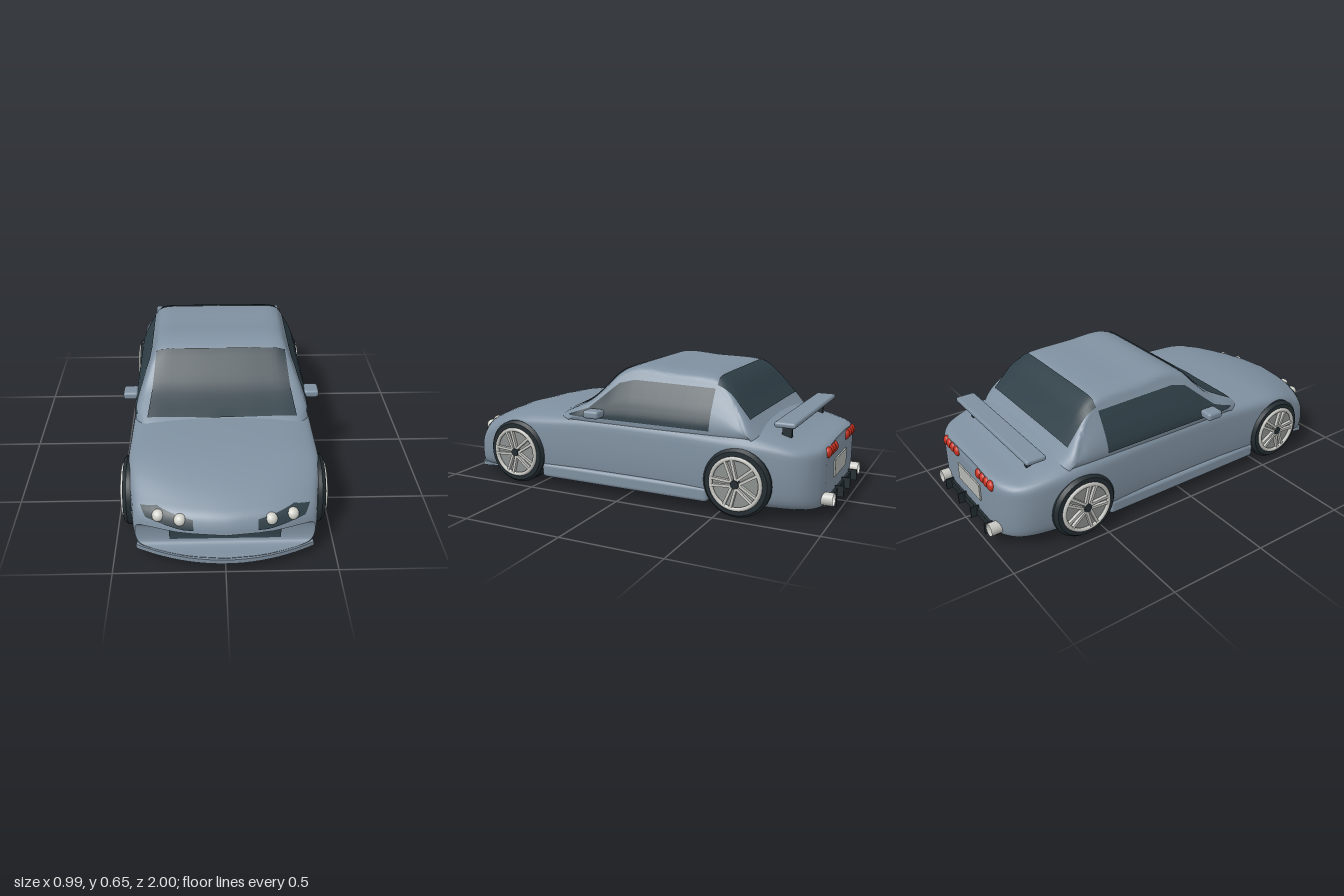
import * as THREE from 'three';
import { toCreasedNormals } from 'three/addons/utils/BufferGeometryUtils.js';
import { RoundedBoxGeometry } from 'three/addons/geometries/RoundedBoxGeometry.js';

const mat = (name, color) => Object.assign(new THREE.MeshStandardMaterial({ color }), { name });
const V = (x, y, z) => new THREE.Vector3(x, y, z);

// Skin mirrored half sections (bottom centre to top centre) running from front to back
function loft(halves, perSpan = 5, around = 26) {
  const lines = [];
  const curves = halves.map((h) => new THREE.CatmullRomCurve3(h, false, 'centripetal'));
  for (let j = 0; j <= around; j++) {
    const line = new THREE.CatmullRomCurve3(curves.map((c) => c.getPoint(j / around)), false, 'centripetal');
    lines.push(line.getPoints((halves.length - 1) * perSpan));
  }
  const rows = (halves.length - 1) * perSpan + 1, n = around * 2;
  const pos = [], index = [];
  for (let i = 0; i < rows; i++) {
    for (let j = 0; j < n; j++) {
      const p = lines[j <= around ? j : n - j][i];
      const centre = j === 0 || j === around;
      pos.push(centre ? 0 : j < around ? p.x : -p.x, p.y, p.z);
    }
  }
  for (let i = 0; i < rows - 1; i++) {
    for (let j = 0; j < n; j++) {
      const a = i * n + j, b = i * n + (j + 1) % n;
      index.push(a, a + n, b, b, a + n, b + n);
    }
  }
  // Flat ends, each a strip between the lower and upper halves of the ring
  for (const [row, front] of [[0, true], [rows - 1, false]]) {
    for (let j = 0; j < around; j++) {
      const r = row * n, a = r + j, b = r + j + 1, c = r + (n - j) % n, d = r + n - j - 1;
      if (front) index.push(a, b, c, b, d, c);
      else index.push(a, c, b, b, c, d);
    }
  }
  const geo = new THREE.BufferGeometry();
  geo.setAttribute('position', new THREE.Float32BufferAttribute(pos, 3));
  geo.setIndex(index);
  return toCreasedNormals(geo, 0.7);
}

// Lay a thin panel between two edge lines onto the target surfaces, seen along one axis
function panel(targets, axis, sign, lower, upper, offset = 0.005, nu = 24, nv = 10) {
  const geo = new THREE.PlaneGeometry(1, 1, nu, nv), p = geo.attributes.position, ray = new THREE.Raycaster();
  const edge = (e, t) => {
    const f = t * (e.length - 1), i = Math.min(Math.floor(f), e.length - 2);
    return [0, 1].map((k) => e[i][k] + (e[i + 1][k] - e[i][k]) * (f - i));
  };
  const place = { x: (a, b, d) => V(d, b, a), y: (a, b, d) => V(a, d, b), z: (a, b, d) => V(a, b, d) }[axis];
  let depth = 0;
  for (let i = 0; i < p.count; i++) {
    const u = p.getX(i) + 0.5, v = p.getY(i) + 0.5, lo = edge(lower, u), hi = edge(upper, u);
    const a = lo[0] + (hi[0] - lo[0]) * v, b = lo[1] + (hi[1] - lo[1]) * v;
    ray.set(place(a, b, sign * 3), place(0, 0, -sign));
    const hit = ray.intersectObjects(targets)[0];
    if (hit) depth = hit.point[axis];
    const q = place(a, b, depth + sign * offset);
    p.setXYZ(i, q.x, q.y, q.z);
  }
  geo.computeVertexNormals();
  return geo;
}

export function createModel() {
  const car = new THREE.Group();
  car.name = 'car';
  const paint = mat('bodyPaint', 0x7f90a0);
  const glass = mat('darkGlass', 0x2f3f47);
  glass.side = THREE.DoubleSide;
  const rubber = mat('rubber', 0x232d32);
  const metal = mat('lightMetal', 0xc6c6c2);
  metal.side = THREE.DoubleSide;
  const brake = mat('wheelDisc', 0x8c908f);
  const red = mat('tailRed', 0xc6301f);
  const lens = mat('lampLens', 0xd2d2cb);
  const plateMat = mat('plateGrey', 0xb4b8b4);

  const add = (name, geo, m, x = 0, y = 0, z = 0, parent = car) => {
    const mesh = new THREE.Mesh(geo, m);
    mesh.name = name;
    mesh.position.set(x, y, z);
    parent.add(mesh);
    return mesh;
  };

  // Lower body: z, half width, bottom, shoulder height, centre height
  const stations = [
    [0.988, 0.4, 0.07, 0.18, 0.2], [0.98, 0.405, 0.055, 0.205, 0.23], [0.955, 0.412, 0.05, 0.24, 0.27],
    [0.9, 0.42, 0.05, 0.27, 0.3], [0.78, 0.435, 0.05, 0.31, 0.343], [0.62, 0.446, 0.05, 0.335, 0.378],
    [0.42, 0.443, 0.05, 0.35, 0.392], [0.2, 0.437, 0.05, 0.365, 0.392], [-0.2, 0.438, 0.05, 0.365, 0.392],
    [-0.45, 0.447, 0.05, 0.36, 0.4], [-0.6, 0.45, 0.05, 0.355, 0.422], [-0.72, 0.437, 0.05, 0.345, 0.392],
    [-0.84, 0.41, 0.05, 0.325, 0.36], [-0.9, 0.375, 0.05, 0.315, 0.352], [-0.94, 0.32, 0.052, 0.308, 0.346],
    [-0.957, 0.275, 0.06, 0.3, 0.338],
  ];
  const noseSweep = (x, z) => 0.115 * (x / 0.41) ** 2 * THREE.MathUtils.smoothstep(z, 0.55, 0.95);
  const body = add('body', loft(stations.map(([z, w, yb, ys, yt]) => {
    const h = ys - yb, d = yt - ys;
    return [[0, yb], [0.45 * w, yb], [0.88 * w, yb], [0.965 * w, yb + 0.1 * h], [w, yb + 0.35 * h],
      [w, yb + 0.8 * h], [0.975 * w, ys], [0.86 * w, ys + 0.55 * d], [0.5 * w, yt - 0.1 * d], [0, yt]]
      .map(([x, y]) => V(x, y, z - noseSweep(x, z)));
  })), paint);

  // Cabin: z and roofline height, with sides leaning inward
  const roofline = [[0.43, 0.355], [0.36, 0.393], [0.28, 0.43], [0.2, 0.475], [0.13, 0.542], [0.07, 0.607],
    [0, 0.64], [-0.06, 0.648], [-0.2, 0.638], [-0.38, 0.633], [-0.45, 0.622], [-0.52, 0.57],
    [-0.57, 0.508], [-0.63, 0.435], [-0.7, 0.365]];
  const sideX = (y) => (y > 0.385 ? 0.43 - 0.43 * (y - 0.385) : 0.43 - 0.4 * (0.385 - y));
  const cabin = add('cabin', loft(roofline.map(([z, t]) => {
    const e = t - 0.05, low = Math.min(0.385, e - 0.008), x = sideX(e);
    return [[0, 0.28], [0.36, 0.28], [sideX(low), low], [x, e], [x - 0.018, t - 0.02],
      [x - 0.05, t - 0.005], [x * 0.5, t], [0, t]].map(([px, py]) => V(px, py, z));
  })), paint);
  car.updateMatrixWorld(true);

  // Windows
  const shell = [body, cabin];
  add('windscreen', panel(shell, 'y', 1, [[-0.365, 0.355], [0, 0.365], [0.365, 0.355]],
    [[-0.325, 0.06], [0, 0.06], [0.325, 0.06]], 0.007), glass);
  add('rearWindow', panel(shell, 'y', 1, [[-0.345, -0.455], [0.345, -0.455]],
    [[-0.365, -0.625], [0.365, -0.625]], 0.007), glass);
  const sill = [0.31, 0.2, 0.12, 0.05, -0.03, -0.45];
  const windowTop = [0.393, 0.432, 0.5, 0.56, 0.58, 0.573];
  for (const s of [1, -1]) {
    add(s > 0 ? 'leftSideWindow' : 'rightSideWindow', panel([cabin], 'x', s,
      sill.map((z) => [z, 0.387]), sill.map((z, i) => [z, windowTop[i]]), 0.005, 30), glass);
  }

  // Grille and front lip
  add('grille', panel([body], 'z', 1, [[-0.25, 0.095], [0.25, 0.095]], [[-0.25, 0.177], [0.25, 0.177]]), glass);
  const lip = new THREE.Shape();
  for (let i = 0; i <= 20; i++) {
    const x = -0.4 + 0.04 * i;
    lip[i ? 'lineTo' : 'moveTo'](x, -(0.995 - 0.115 * (x / 0.41) ** 2));
  }
  lip.lineTo(0.38, -0.8).lineTo(-0.38, -0.8);
  add('frontLip', new THREE.ExtrudeGeometry(lip, { depth: 0.022, bevelEnabled: false }).rotateX(-Math.PI / 2),
    paint, 0, 0.044);

  for (const s of [1, -1]) {
    const side = s > 0 ? 'left' : 'right';
    // Headlamps
    add(side + 'HeadlampPanel', panel([body], 'z', 1, [[s * 0.14, 0.216], [s * 0.18, 0.214], [s * 0.35, 0.232]],
      [[s * 0.14, 0.258], [s * 0.3, 0.28], [s * 0.374, 0.265]]), glass);
    for (const x of [0.197, 0.292]) {
      const z = 0.958 - 0.115 * (x / 0.41) ** 2;
      add(side + 'Headlamp', new THREE.SphereGeometry(0.029, 20, 14), lens, s * x, 0.245, z);
    }
    // Mirrors and side skirts
    add(side + 'Mirror', new RoundedBoxGeometry(0.075, 0.04, 0.085, 3, 0.014), paint, s * 0.457, 0.415, 0.145);
    add(side + 'MirrorArm', new THREE.BoxGeometry(0.05, 0.02, 0.04), paint, s * 0.415, 0.408, 0.14);
    add(side + 'Skirt', new RoundedBoxGeometry(0.06, 0.075, 0.92, 3, 0.02), paint, s * 0.417, 0.084, 0.01);
    // Tail lamps
    for (const x of [0.122, 0.165, 0.205, 0.242]) {
      const lamp = add(side + 'TailLamp', new THREE.SphereGeometry(0.026, 18, 12), red, s * x, 0.303, -0.955);
      lamp.scale.z = 0.7;
    }
    // Exhausts
    add(side + 'Exhaust', new THREE.CylinderGeometry(0.031, 0.031, 0.08, 20, 1, true).rotateX(Math.PI / 2),
      metal, s * 0.27, 0.093, -0.96);
    add(side + 'ExhaustInside', new THREE.CylinderGeometry(0.025, 0.025, 0.05, 20).rotateX(Math.PI / 2),
      metal, s * 0.27, 0.093, -0.95);
    for (const x of [0.07, 0.22]) {
      add('diffuserFin', new THREE.BoxGeometry(0.008, 0.055, 0.06), rubber, s * x, 0.07, -0.97);
    }
    add('spoilerPost', new THREE.BoxGeometry(0.02, 0.07, 0.045), rubber, s * 0.28, 0.395, -0.775);
  }
  add('diffuser', new THREE.BoxGeometry(0.54, 0.035, 0.04), rubber, 0, 0.067, -0.95);
  add('rearPlate', new THREE.BoxGeometry(0.235, 0.085, 0.008), plateMat, 0, 0.195, -0.96);
  add('spoiler', new RoundedBoxGeometry(0.75, 0.026, 0.1, 3, 0.011), paint, 0, 0.438, -0.787);

  // Wheels, built with the outer face upward and then turned
  const tyreProfile = [[0.02, -0.055], [0.145, -0.055], [0.163, -0.038], [0.164, 0.036], [0.15, 0.053], [0.118, 0.053]]
    .map(([r, y]) => new THREE.Vector2(r, y));
  const tyre = toCreasedNormals(new THREE.LatheGeometry(tyreProfile, 36), 0.6);
  for (const [end, z] of [['front', 0.615], ['rear', -0.595]]) {
    for (const s of [1, -1]) {
      const wheel = new THREE.Group();
      wheel.name = end + (s > 0 ? 'LeftWheel' : 'RightWheel');
      wheel.position.set(s * 0.41, 0.166, z);
      wheel.rotation.z = -s * Math.PI / 2;
      car.add(wheel);
      add('tyre', tyre, rubber, 0, 0, 0, wheel);
      add('wheelDisc', new THREE.CylinderGeometry(0.12, 0.12, 0.02, 32), brake, 0, 0.035, 0, wheel);
      add('rim', new THREE.TorusGeometry(0.119, 0.01, 8, 36).rotateX(Math.PI / 2), metal, 0, 0.056, 0, wheel);
      for (let i = 0; i < 5; i++) {
        for (const k of [-1, 1]) {
          const spoke = new THREE.BoxGeometry(0.013, 0.016, 0.105).translate(k * 0.009, 0, 0.065)
            .rotateY(i * Math.PI * 0.4 + k * 0.07);
          add('spoke', spoke, metal, 0, 0.056, 0, wheel);
        }
      }
      add('hub', new THREE.CylinderGeometry(0.02, 0.024, 0.02, 16), rubber, 0, 0.058, 0, wheel);
    }
  }
  return car;
}
